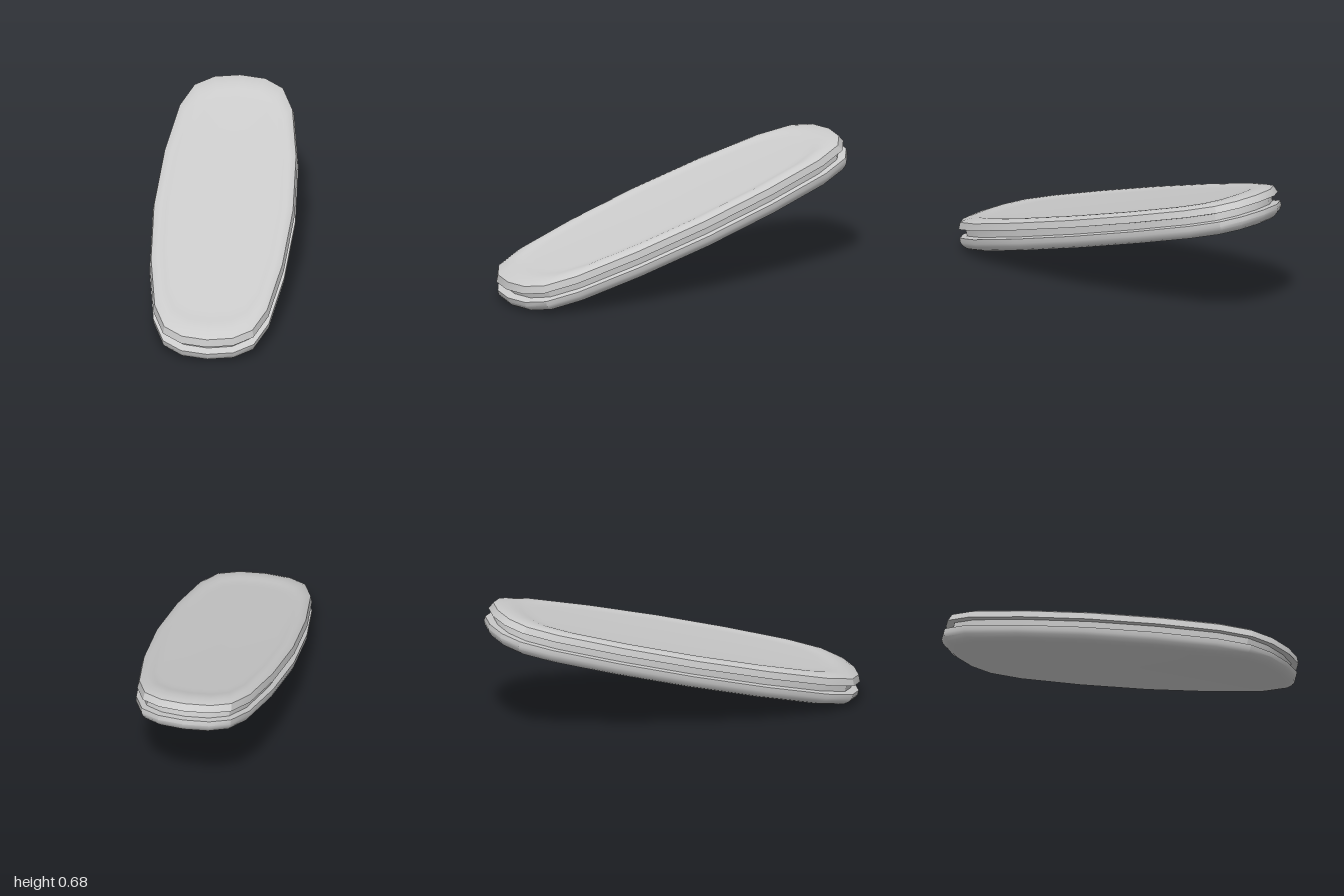
import * as THREE from 'three';
import { toCreasedNormals } from 'three/addons/utils/BufferGeometryUtils.js';

// One quarter of the 20-sided plan outline, from the front tip to the widest side
const QUARTER = [[0, 1], [0.365, 0.98], [0.635, 0.913], [0.81, 0.755], [0.945, 0.41], [1, 0]];

function planOutline() {
  const half = [...QUARTER, ...QUARTER.slice(0, 5).reverse().map(([x, z]) => [x, -z])];
  return [...half, ...half.slice(1, -1).reverse().map(([x, z]) => [-x, z])];
}

// Stacks scaled outlines; each ring is [half width, half length, height], bottom to top
function loft(rings) {
  const outline = planOutline();
  const n = outline.length;
  const positions = [];
  const index = [];
  rings.forEach(([w, l, y]) => outline.forEach(([x, z]) => positions.push(x * w, y, z * l)));
  for (let r = 0; r < rings.length - 1; r++) {
    for (let i = 0; i < n; i++) {
      const a = r * n + i;
      const b = r * n + (i + 1) % n;
      if (rings[r][0] > 0) index.push(a, b, b + n);
      if (rings[r + 1][0] > 0) index.push(a, b + n, a + n);
    }
  }
  const geometry = new THREE.BufferGeometry();
  geometry.setAttribute('position', new THREE.Float32BufferAttribute(positions, 3));
  geometry.setIndex(index);
  return toCreasedNormals(geometry.toNonIndexed(), THREE.MathUtils.degToRad(30));
}

export function createModel() {
  const group = new THREE.Group();
  const material = new THREE.MeshStandardMaterial({ color: 0xcccccc, side: THREE.DoubleSide });
  const body = new THREE.Group();
  body.name = 'tiltedBody';

  const add = (name, rings) => {
    const mesh = new THREE.Mesh(loft(rings), material);
    mesh.name = name;
    body.add(mesh);
  };

  // Lower shell with a rounded underside
  add('lowerShell', [
    [0, 0, -0.082], [0.29, 0.93, -0.082], [0.325, 0.975, -0.079], [0.348, 1.0, -0.068],
    [0.363, 1.02, -0.05], [0.37, 1.029, -0.032], [0.37, 1.028, -0.008], [0.342, 0.985, -0.003],
  ]);

  // Recessed groove between the shells
  add('groove', [[0.342, 0.985, -0.003], [0.342, 0.985, 0.033]]);

  // Upper shell: bevelled rim, soft raised border, shallow dished centre
  add('upperShell', [
    [0.342, 0.985, 0.033], [0.368, 1.023, 0.038], [0.36, 1.006, 0.074], [0.345, 0.975, 0.083],
    [0.328, 0.935, 0.088], [0.31, 0.895, 0.088], [0.296, 0.865, 0.084],
    [0.28, 0.83, 0.081], [0.26, 0.79, 0.08], [0, 0, 0.08],
  ]);

  // Lean the whole body down towards the front
  body.rotation.x = THREE.MathUtils.degToRad(15.5);
  body.position.y = 0.345;
  group.add(body);
  return group;
}
